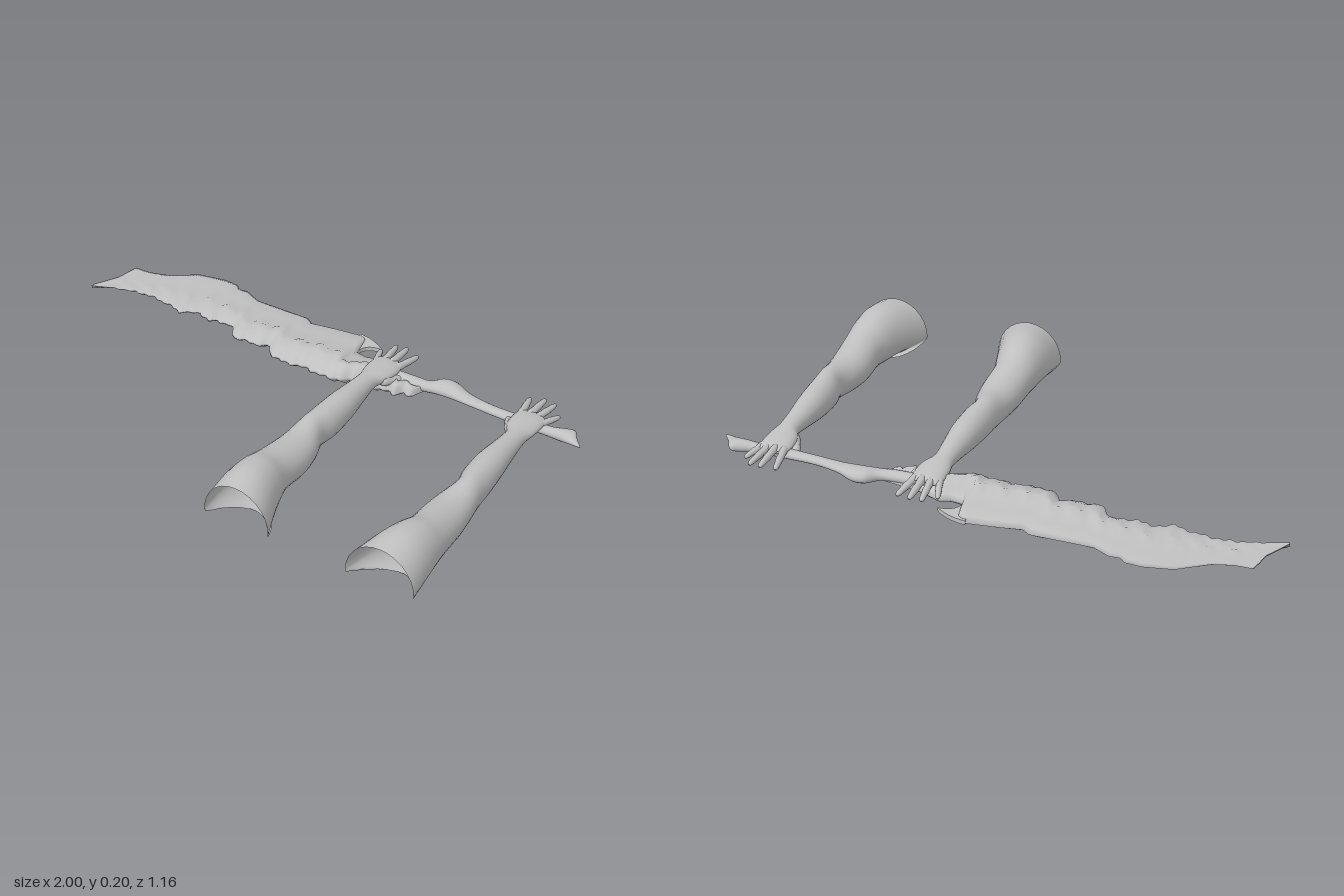
import * as THREE from 'three';

const grey = new THREE.MeshStandardMaterial({ color: 0xc0c0c0, side: THREE.DoubleSide });
grey.name = 'plain grey';

const { lerp, clamp } = THREE.MathUtils;

function part(name, geometry) {
  const mesh = new THREE.Mesh(geometry, grey);
  mesh.name = name;
  return mesh;
}

// Skin a list of closed rings, each an array of [x, y, z]
function loft(rings) {
  const n = rings[0].length;
  const index = [];
  for (let i = 0; i < rings.length - 1; i++) {
    for (let j = 0; j < n; j++) {
      const k = (j + 1) % n;
      const a = i * n + j, b = i * n + k, c = a + n, d = b + n;
      index.push(a, c, b, b, c, d);
    }
  }
  const g = new THREE.BufferGeometry();
  g.setAttribute('position', new THREE.Float32BufferAttribute(rings.flat(2), 3));
  g.setIndex(index);
  g.computeVertexNormals();
  return g;
}

// Smooth sampling of rows [s, lowU, highU, topY, bottomY, middleY]
function smoothRows(rows, count) {
  const curve = (k) => new THREE.CatmullRomCurve3(
    rows.map((r) => new THREE.Vector3(r[k], r[k + 1], r[k + 2])), false, 'catmullrom', 0.5);
  const a = curve(0), b = curve(3);
  return Array.from({ length: count + 1 }, (_, i) => {
    const p = a.getPoint(i / count), q = b.getPoint(i / count);
    return [p.x, p.y, p.z, q.x, q.y, q.z];
  });
}

// Straight-line lookup in a list of [x, value]
function lookup(list, x) {
  let i = 1;
  while (i < list.length - 1 && x > list[i][0]) i++;
  const [x0, v0] = list[i - 1], [x1, v1] = list[i];
  return lerp(v0, v1, clamp((x - x0) / (x1 - x0), 0, 1));
}

// Tapered finger from base to tip
function finger(name, from, to, r) {
  const a = new THREE.Vector3(...from), b = new THREE.Vector3(...to);
  const len = a.distanceTo(b);
  const profile = [[0, 0], [0.9, 0.03], [1.05, 0.2], [0.88, 0.42], [0.95, 0.55], [0.78, 0.75], [0.72, 0.88], [0.45, 0.97], [0, 1]]
    .map(([w, t]) => new THREE.Vector2(w * r, t * len));
  const mesh = part(name, new THREE.LatheGeometry(profile, 12));
  mesh.position.copy(a);
  mesh.quaternion.setFromUnitVectors(new THREE.Vector3(0, 1, 0), b.sub(a).normalize());
  return mesh;
}

function makeArm() {
  const arm = new THREE.Group();
  // z, inner and outer x, top, bottom, height of widest point
  const rows = smoothRows([
    [0.575, 0.11, 0.36, 0.197, 0.01, 0.06],
    [0.48, 0.115, 0.325, 0.21, 0.01, 0.08],
    [0.4, 0.122, 0.3, 0.2, 0.008, 0.09],
    [0.33, 0.128, 0.283, 0.175, 0.01, 0.09],
    [0.23, 0.134, 0.285, 0.153, 0.006, 0.08],
    [0.15, 0.142, 0.275, 0.146, 0.012, 0.08],
    [0.07, 0.152, 0.252, 0.155, 0.018, 0.085],
    [0, 0.154, 0.264, 0.153, 0.02, 0.085],
    [-0.1, 0.16, 0.265, 0.147, 0.03, 0.09],
    [-0.2, 0.17, 0.255, 0.133, 0.047, 0.09],
    [-0.28, 0.175, 0.25, 0.122, 0.06, 0.09],
    [-0.33, 0.166, 0.272, 0.117, 0.063, 0.09],
    [-0.38, 0.163, 0.277, 0.112, 0.066, 0.088],
    [-0.415, 0.167, 0.272, 0.105, 0.07, 0.087],
    [-0.435, 0.185, 0.258, 0.095, 0.08, 0.087],
  ], 70);
  const rings = rows.map(([z, x0, x1, top, bottom, mid]) =>
    Array.from({ length: 28 }, (_, j) => {
      const t = (j / 28) * Math.PI * 2, s = Math.sin(t);
      // the underside of the open shoulder end is cut back
      const limit = 0.575 - 0.13 * Math.max(0, (-s - 0.3) / 0.7);
      return [
        (x0 + x1) / 2 + Math.cos(t) * (x1 - x0) / 2,
        mid + s * (s > 0 ? top - mid : mid - bottom),
        Math.min(z, limit),
      ];
    }));
  arm.add(part('armAndPalm', loft(rings)));
  arm.add(
    finger('indexFinger', [0.255, 0.09, -0.39], [0.28, 0.075, -0.52], 0.014),
    finger('middleFinger', [0.23, 0.094, -0.4], [0.228, 0.082, -0.535], 0.014),
    finger('ringFinger', [0.203, 0.092, -0.4], [0.186, 0.08, -0.53], 0.0135),
    finger('littleFinger', [0.18, 0.088, -0.385], [0.146, 0.073, -0.485], 0.0125),
    finger('thumb', [0.25, 0.085, -0.31], [0.3, 0.06, -0.4], 0.018),
  );
  return arm;
}

function makeWeapon() {
  const weapon = new THREE.Group();
  weapon.name = 'raggedBlade';

  // Smooth back edge and torn front edge, as [x, z]
  const back = [[-1, -0.285], [-0.945, -0.385], [-0.935, -0.465], [-0.87, -0.468], [-0.8, -0.49], [-0.7, -0.56],
    [-0.6, -0.583], [-0.54, -0.58], [-0.52, -0.56], [-0.485, -0.565], [-0.42, -0.535], [-0.2, -0.54], [-0.17, -0.52],
    [-0.1, -0.535], [0.03, -0.555], [0.055, -0.54], [0.07, -0.45], [0.12, -0.44], [0.16, -0.455], [0.25, -0.425],
    [0.38, -0.41]];
  const front = [[-1, -0.275], [-0.9, -0.315], [-0.8, -0.34], [-0.7, -0.335], [-0.62, -0.315], [-0.55, -0.35],
    [-0.5, -0.325], [-0.47, -0.345], [-0.41, -0.345], [-0.36, -0.29], [-0.27, -0.3], [-0.22, -0.315], [-0.2, -0.28],
    [-0.14, -0.262], [-0.05, -0.275], [0.05, -0.268], [0.12, -0.29], [0.16, -0.32], [0.22, -0.3], [0.27, -0.325],
    [0.3, -0.3], [0.33, -0.34], [0.36, -0.33], [0.38, -0.38]];
  const topY = [[-1, 0.042], [-0.5, 0.064], [-0.2, 0.082], [0.2, 0.097], [0.38, 0.075]];
  const bottomY = [[-1, 0.032], [-0.5, 0.02], [-0.2, 0.011], [0.15, 0.012], [0.38, 0.045]];
  // position from front to back edge, share of full thickness
  const section = [[0, 0.12], [0.12, 0.65], [0.25, 0.85], [0.36, 1], [0.48, 0.62], [0.72, 0.5], [0.93, 0.35]];

  const rings = [];
  for (let i = 0; i <= 160; i++) {
    const x = -1 + (1.38 * i) / 160;
    const grow = clamp((x + 1) * 6, 0, 1);
    const rough = (k) => grow * (Math.sin(x * 71 + k * 2.1) + Math.sin(x * 157 + k * 4.3));
    const zf = lookup(front, x) + 0.004 * rough(1), zb = lookup(back, x);
    const top = lookup(topY, x), bottom = lookup(bottomY, x), mid = 0.047;
    const point = ([f, h], k, limit) => {
      const bump = k < 4 ? 0.0025 * rough(k + 2) * h : 0;
      return [x, mid + (limit - mid) * h + bump, lerp(zf, zb, f)];
    };
    rings.push([
      ...section.map((p, k) => point(p, k, top)),
      [x, mid, zb],
      ...section.map((p, k) => point(p, k, bottom)).reverse(),
    ]);
  }
  weapon.add(part('blade', loft(rings)));

  // Curved barb at the heel of the blade
  const barb = new THREE.Shape();
  barb.moveTo(0.02, 0.552);
  barb.quadraticCurveTo(0.08, 0.55, 0.135, 0.51);
  barb.quadraticCurveTo(0.06, 0.505, 0.068, 0.44);
  barb.lineTo(0.02, 0.45);
  const barbGeometry = new THREE.ExtrudeGeometry(barb, { depth: 0.016, bevelEnabled: false, curveSegments: 8 });
  barbGeometry.rotateX(-Math.PI / 2);
  barbGeometry.translate(0, 0.04, 0);
  weapon.add(part('barb', barbGeometry));

  // Knobbly handle: x, back z, front z, top, bottom, middle
  const grip = smoothRows([
    [0.22, -0.415, -0.365, 0.085, 0.045, 0.065],
    [0.34, -0.418, -0.368, 0.085, 0.045, 0.065],
    [0.39, -0.425, -0.375, 0.083, 0.043, 0.065],
    [0.43, -0.46, -0.382, 0.09, 0.04, 0.065],
    [0.475, -0.464, -0.386, 0.09, 0.04, 0.065],
    [0.54, -0.437, -0.382, 0.08, 0.049, 0.065],
    [0.64, -0.42, -0.378, 0.08, 0.051, 0.066],
    [0.75, -0.42, -0.375, 0.083, 0.05, 0.067],
    [0.86, -0.418, -0.38, 0.084, 0.05, 0.068],
    [0.91, -0.43, -0.38, 0.09, 0.046, 0.068],
    [0.945, -0.442, -0.376, 0.088, 0.05, 0.07],
    [0.97, -0.405, -0.372, 0.082, 0.06, 0.072],
    [0.998, -0.372, -0.368, 0.075, 0.071, 0.073],
  ], 60);
  weapon.add(part('handle', loft(grip.map(([x, zb, zf, top, bottom, mid]) =>
    Array.from({ length: 14 }, (_, j) => {
      const t = (j / 14) * Math.PI * 2, s = Math.sin(t);
      return [x, mid + s * (s > 0 ? top - mid : mid - bottom), (zb + zf) / 2 + Math.cos(t) * (zf - zb) / 2];
    })))));
  return weapon;
}

export function createModel() {
  const model = new THREE.Group();
  model.name = 'armsWithBlade';
  const rightArm = makeArm();
  rightArm.name = 'rightArm';
  // the other arm is a mirror image
  const leftArm = makeArm();
  leftArm.name = 'leftArm';
  leftArm.scale.x = -1;
  leftArm.position.x = 1.01;
  model.add(makeWeapon(), rightArm, leftArm);
  return model;
}
